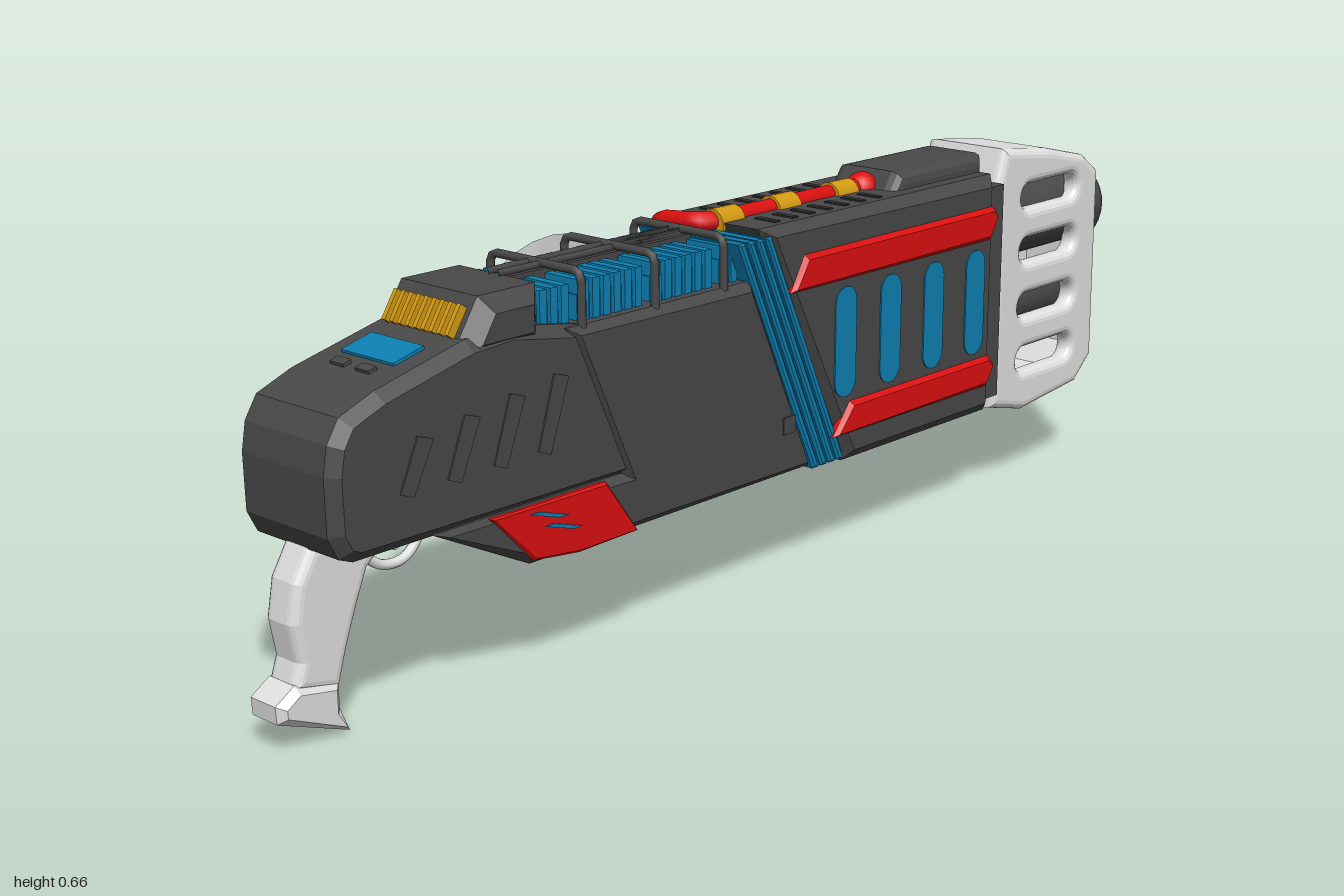
import * as THREE from 'three';

const mat = (name, color, side = THREE.FrontSide) => {
  const m = new THREE.MeshStandardMaterial({ color, side });
  m.name = name;
  return m;
};

export function createModel() {
  const dark = mat('dark gunmetal', 0x484848);
  const black = mat('black recess', 0x2c2c2c);
  const red = mat('red', 0xdc1010);
  const blue = mat('blue', 0x0d7fb2);
  const gold = mat('gold', 0xd39b12);
  const white = mat('off white', 0xe0e0e0);
  const glass = mat('pale grey', 0xb0b0b0, THREE.DoubleSide);

  const model = new THREE.Group();
  model.name = 'blaster';
  // everything is built about the gun's own centre plane, then shifted
  const gun = new THREE.Group();
  gun.name = 'gun';
  gun.position.x = 0.045;
  model.add(gun);

  const add = (name, geo, m, x = 0, y = 0, z = 0) => {
    const mesh = new THREE.Mesh(geo, m);
    mesh.name = name;
    mesh.position.set(x, y, z);
    gun.add(mesh);
    return mesh;
  };
  const box = (name, w, h, d, m, x, y, z) => add(name, new THREE.BoxGeometry(w, h, d), m, x, y, z);
  const shapeOf = pts => new THREE.Shape(pts.map(p => new THREE.Vector2(p[0], p[1])));

  // side profile given as (z, y), extruded across x
  const slab = (name, profile, width, m, bevel = 0, x = 0, segments = 1) => {
    const shape = Array.isArray(profile) ? shapeOf(profile) : profile;
    const depth = width - 2 * bevel;
    const geo = new THREE.ExtrudeGeometry(shape, {
      depth, curveSegments: 8, bevelEnabled: bevel > 0, bevelSize: bevel,
      bevelThickness: bevel, bevelOffset: -bevel, bevelSegments: segments,
    });
    geo.translate(0, 0, -depth / 2);
    geo.rotateY(-Math.PI / 2);
    return add(name, geo, m, x);
  };
  const bothSides = fn => [-1, 1].forEach(fn);

  // stadium outline, along z or along y
  const capsule = (cz, cy, half, r, upright = false, C = THREE.Shape) => {
    const s = new C(), h = half - r, q = Math.PI / 2;
    if (upright) {
      s.absarc(cz, cy + h, r, 0, Math.PI);
      s.absarc(cz, cy - h, r, Math.PI, 2 * Math.PI);
    } else {
      s.absarc(cz + h, cy, r, -q, q);
      s.absarc(cz - h, cy, r, q, 3 * q);
    }
    s.closePath();
    return s;
  };
  const pipe = (name, pts, r, m, n = 60, tension = 0.2) => {
    const curve = new THREE.CatmullRomCurve3(pts.map(p => new THREE.Vector3(...p)), false, 'catmullrom', tension);
    return add(name, new THREE.TubeGeometry(curve, n, r, 10), m);
  };

  // main bodies
  slab('receiver', [[0.07, 0.545], [-0.085, 0.195], [0.57, 0.195], [0.76, 0.29], [0.37, 0.29], [0.485, 0.545]], 0.232, dark, 0.015);
  slab('stock', [[0.33, 0.285], [0.45, 0.545], [0.6, 0.57], [0.68, 0.565], [0.85, 0.525], [0.915, 0.5], [0.937, 0.465],
    [0.945, 0.42], [0.943, 0.33], [0.925, 0.295], [0.9, 0.285]], 0.218, dark, 0.018);
  slab('rearBody', [[0.045, 0.625], [-0.178, 0.18], [-0.595, 0.18], [-0.595, 0.625]], 0.234, dark, 0.02);
  slab('stockCap', [[0.53, 0.53], [0.53, 0.622], [0.645, 0.622], [0.685, 0.56], [0.685, 0.53]], 0.216, dark, 0.025);
  slab('topHousing', [[-0.61, 0.59], [-0.61, 0.656], [-0.365, 0.656], [-0.34, 0.62], [-0.34, 0.59]], 0.146, dark, 0.022, 0, 3);
  box('bodyCollar', 0.2, 0.4, 0.05, dark, 0, 0.4, -0.61);
  box('muzzleNeck', 0.13, 0.4, 0.05, white, 0, 0.4, -0.63);

  // ribbed diagonal band wrapped round the join
  slab('diagonalBand', [[0.1, 0.6], [0.02, 0.6], [-0.17, 0.2], [-0.09, 0.2]], 0.21, blue);
  for (let i = 0; i < 4; i++) {
    const s = 0.108 - i * 0.022, e = -0.085 - i * 0.022;
    slab('bandRib', [[s, 0.612], [s - 0.016, 0.612], [e - 0.016, 0.19], [e, 0.19]], 0.228, blue, 0.004);
  }

  // cooling fins in four banks, two columns
  for (const [z0, z1] of [[0.08, 0.12], [0.14, 0.28], [0.3, 0.44], [0.46, 0.55]]) {
    bothSides(s => {
      box('finCore', 0.066, 0.05, z1 - z0, blue, s * 0.046, 0.56, (z0 + z1) / 2);
      const n = Math.round((z1 - z0) / 0.024);
      for (let i = 0; i < n; i++)
        box('coolingFin', 0.08, 0.066, 0.015, blue, s * 0.046, 0.575, z0 + (i + 0.5) * (z1 - z0) / n);
    });
  }
  box('finSpine', 0.014, 0.07, 0.46, dark, 0, 0.58, 0.32);
  for (const z of [0.13, 0.29, 0.45])
    pipe('guardHoop', [[-0.1, 0.54, z], [-0.1, 0.615, z], [-0.09, 0.627, z], [0.09, 0.627, z], [0.1, 0.615, z], [0.1, 0.54, z]], 0.007, dark, 30, 0.05);
  bothSides(s => pipe('guardRail', [[s * 0.012, 0.625, 0.11], [s * 0.012, 0.625, 0.54]], 0.006, dark, 2));

  // gold teeth and display on the stock
  for (let i = 0; i < 9; i++)
    box('goldTooth', 0.008, 0.05, 0.018, gold, (i - 4) * 0.0173, 0.587, 0.674).rotation.x = -0.57;
  box('display', 0.116, 0.009, 0.06, blue, 0, 0.548, 0.755).rotation.x = 0.25;
  bothSides(s => box('displayButton', 0.03, 0.008, 0.016, dark, s * 0.028, 0.536, 0.81).rotation.x = 0.27);

  // details repeated on both flanks
  bothSides(s => {
    slab('upperRedBar', [[-0.015, 0.51], [-0.05, 0.57], [-0.58, 0.57], [-0.595, 0.55], [-0.57, 0.51]], 0.022, red, 0.008, s * 0.114);
    slab('lowerRedBar', [[-0.13, 0.235], [-0.175, 0.292], [-0.575, 0.292], [-0.595, 0.272], [-0.57, 0.235]], 0.022, red, 0.008, s * 0.114);
    for (let i = 0; i < 4; i++) {
      const z = -0.16 - i * 0.123;
      slab('blueSlot', capsule(z, 0.4, 0.097, 0.028, true), 0.006, blue, 0, s * 0.1165);
    }
    slab('redChinPanel', [[0.66, 0.292], [0.42, 0.292], [0.35, 0.195], [0.48, 0.193], [0.575, 0.205]], 0.014, red, 0.004, s * 0.113);
    for (const [z, y] of [[0.54, 0.268], [0.51, 0.242]])
      slab('chinStripe', [[z + 0.045, y + 0.013], [z + 0.025, y + 0.013], [z - 0.035, y - 0.006], [z - 0.015, y - 0.006]], 0.005, blue, 0, s * 0.1195);
    for (let i = 0; i < 4; i++) {
      const z = 0.5 + i * 0.09, top = 0.485 - i * 0.012;
      slab('stockGroove', [[z + 0.03, 0.36], [z + 0.055, 0.37], [z + 0.02, top], [z - 0.01, top - 0.01]], 0.006, dark, 0, s * 0.1085);
    }
    slab('sideLatch', [[0.0, 0.27], [0.0, 0.3], [-0.03, 0.3], [-0.03, 0.27]], 0.006, dark, 0, s * 0.116);
    for (let i = 0; i < 7; i++)
      box('topVent', 0.045, 0.006, 0.014, black, s * 0.062, 0.6245, -0.29 + i * 0.045);
  });

  // slotted muzzle shell
  const muzzle = [[-0.635, 0.17], [-0.635, 0.6], [-0.655, 0.66], [-0.8, 0.642], [-0.915, 0.615], [-0.965, 0.58],
    [-0.968, 0.21], [-0.915, 0.163], [-0.74, 0.145]];
  bothSides(s => {
    const side = shapeOf(muzzle);
    for (const y of [0.56, 0.457, 0.35, 0.245]) side.holes.push(capsule(-0.803, y, 0.088, 0.023, false, THREE.Path));
    slab('muzzleSide', side, 0.04, white, 0.017, s * 0.071, 4);
  });
  const ring = shapeOf(muzzle);
  ring.holes.push(new THREE.Path([[-0.66, 0.19], [-0.66, 0.625], [-0.9, 0.592], [-0.935, 0.565], [-0.935, 0.235],
    [-0.9, 0.19], [-0.74, 0.175]].map(p => new THREE.Vector2(...p))));
  slab('muzzleRim', ring, 0.142, white);

  // twin barrels
  for (const [y, r] of [[0.505, 0.083], [0.345, 0.06]]) {
    const core = new THREE.CylinderGeometry(r * 0.9, r * 0.9, 0.3, 32).rotateX(Math.PI / 2);
    add('barrel', core, dark, 0, y, -0.79);
    const lip = [[0.55, -0.95], [0.9, -0.95], [1, -0.965], [1, -0.99], [0.93, -1], [0.62, -1], [0.55, -0.99], [0.55, -0.95]];
    const geo = new THREE.LatheGeometry(lip.map(p => new THREE.Vector2(p[0] * r, -p[1])), 32).rotateX(-Math.PI / 2);
    add('barrelLip', geo, dark, 0, y, 0);
    add('barrelBore', new THREE.CylinderGeometry(r * 0.58, r * 0.58, 0.03, 32).rotateX(Math.PI / 2), white, 0, y, -0.962);
  }

  // red hose over the top, down the flank and under the dish
  pipe('hose', [[0, 0.625, -0.36], [0, 0.625, 0.03], [-0.02, 0.625, 0.07], [-0.09, 0.618, 0.07], [-0.117, 0.58, 0.06],
    [-0.122, 0.45, 0.055], [-0.122, 0.29, 0.055], [-0.126, 0.245, 0.09], [-0.137, 0.23, 0.2], [-0.14, 0.235, 0.36], [-0.11, 0.24, 0.42]], 0.017, red, 90);
  const hoseEnd = add('hoseEnd', new THREE.SphereGeometry(0.034, 20, 14), red, -0.138, 0.235, 0.4);
  hoseEnd.scale.set(0.95, 0.95, 1.4);
  for (const z of [-0.28, -0.125, 0.02])
    add('hoseBand', new THREE.CylinderGeometry(0.025, 0.025, 0.055, 16).rotateX(Math.PI / 2), gold, 0, 0.621, z);
  add('hoseBand', new THREE.CylinderGeometry(0.024, 0.024, 0.05, 16), gold, -0.119, 0.44, 0.055);
  add('hoseSocket', new THREE.SphereGeometry(0.03, 16, 12), red, 0, 0.622, -0.345);

  // dish with its hub on the right flank
  const cone = new THREE.LatheGeometry([new THREE.Vector2(0.125, 0), new THREE.Vector2(0.235, 0.086)], 32).toNonIndexed();
  cone.computeVertexNormals();
  add('dish', cone.rotateZ(Math.PI / 2), glass, -0.134, 0.36, 0.2);
  const disc = (name, r, w, m, x) => add(name, new THREE.CylinderGeometry(r, r, w, 40).rotateZ(Math.PI / 2), m, x, 0.36, 0.2);
  disc('dishBase', 0.125, 0.03, blue, -0.122);
  disc('dishHub', 0.112, 0.01, dark, -0.14);
  disc('hubBoss', 0.035, 0.016, dark, -0.146);
  for (const y of [0.345, 0.37]) box('hubProng', 0.014, 0.012, 0.15, dark, -0.152, y, 0.28);
  box('hubBridge', 0.012, 0.04, 0.05, dark, -0.15, 0.357, 0.25);

  // grip, pommel, trigger and guard
  slab('grip', [[0.925, 0.3], [0.76, 0.3], [0.785, 0.27], [0.822, 0.24], [0.845, 0.185], [0.865, 0.13], [0.883, 0.07],
    [0.968, 0.09], [0.955, 0.13], [0.966, 0.19], [0.955, 0.25]], 0.068, white, 0.016, 0, 4);
  slab('pommel', [[0.885, 0.085], [0.885, 0.04], [0.868, 0.0], [0.998, 0.05], [1.0, 0.078], [0.965, 0.1]], 0.08, white, 0.012);
  pipe('triggerGuard', [[0, 0.25, 0.81], [0, 0.225, 0.775], [0, 0.222, 0.735], [0, 0.245, 0.705], [0, 0.29, 0.69]], 0.008, white, 24, 0.5);
  pipe('trigger', [[0, 0.295, 0.765], [0, 0.265, 0.76], [0, 0.245, 0.745]], 0.007, white, 10, 0.5);

  return model;
}
